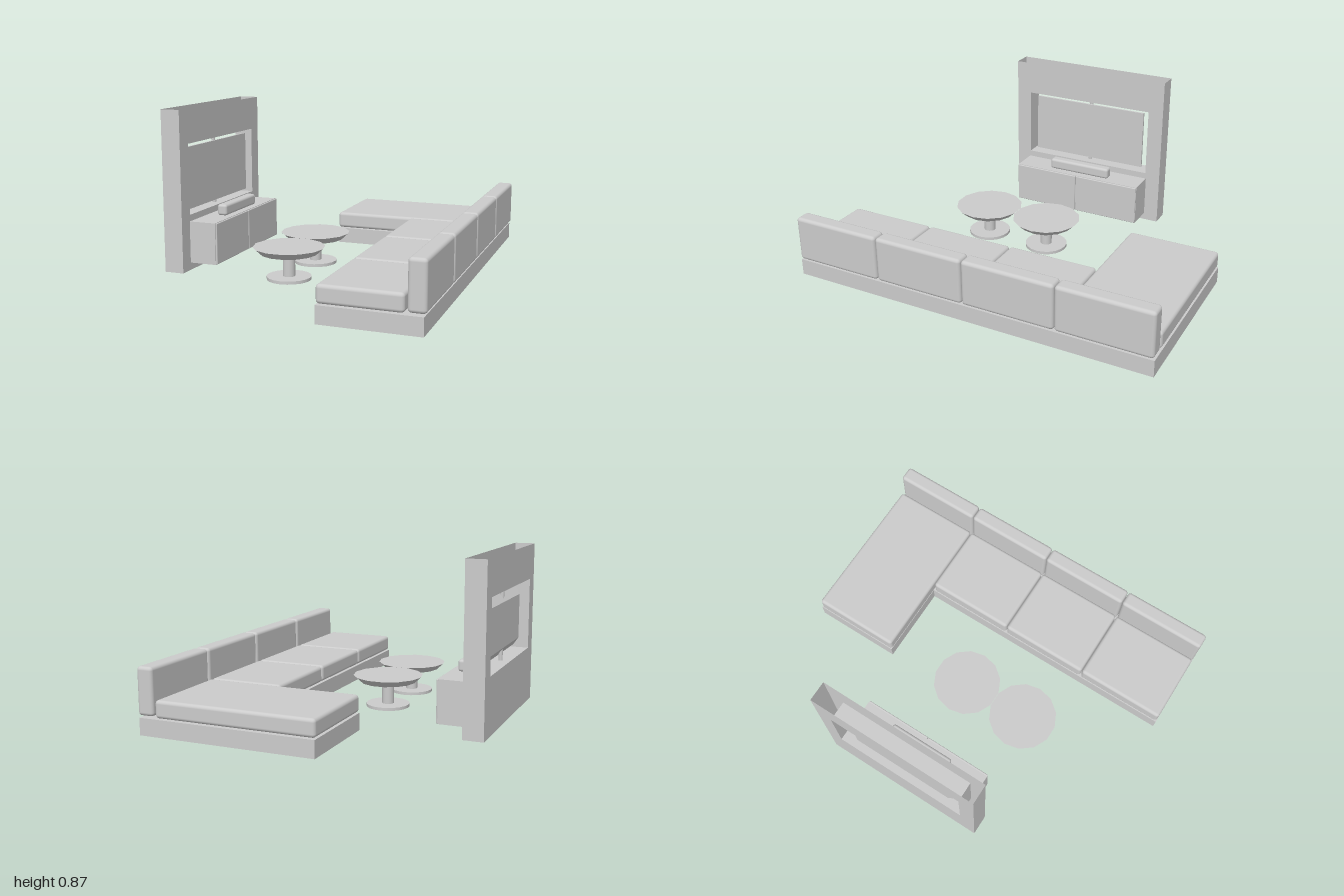
import * as THREE from 'three';
import { RoundedBoxGeometry } from 'three/addons/geometries/RoundedBoxGeometry.js';

export function createModel() {
  const model = new THREE.Group();
  const solid = new THREE.MeshStandardMaterial({ color: 0xcccccc });
  const faceted = new THREE.MeshStandardMaterial({ color: 0xcccccc, flatShading: true });
  const sheet = new THREE.MeshStandardMaterial({ color: 0xcccccc, side: THREE.DoubleSide });

  const group = (name, parent = model) => {
    const g = new THREE.Group();
    g.name = name;
    parent.add(g);
    return g;
  };
  const add = (parent, name, geometry, x, y, z, material = solid) => {
    const mesh = new THREE.Mesh(geometry, material);
    mesh.name = name;
    mesh.position.set(x, y, z);
    parent.add(mesh);
    return mesh;
  };
  // Box given by its limits on each axis; a radius rounds it
  const block = (parent, name, [x0, x1], [y0, y1], [z0, z1], radius = 0) => {
    const size = [x1 - x0, y1 - y0, z1 - z0];
    const geometry = radius
      ? new RoundedBoxGeometry(...size, 3, radius)
      : new THREE.BoxGeometry(...size);
    return add(parent, name, geometry, (x0 + x1) / 2, (y0 + y1) / 2, (z0 + z1) / 2);
  };

  // Sofa: L-shaped plinth with cushions
  const sofa = group('sofa');
  const outline = new THREE.Shape([
    [-0.165, 1], [-0.165, 0.505], [0.28, 0.505], [0.28, -1], [0.775, -1], [0.775, 1],
  ].map(([x, y]) => new THREE.Vector2(x, y)));
  const plinth = new THREE.ExtrudeGeometry(outline, { depth: 0.088, bevelEnabled: false });
  plinth.rotateX(-Math.PI / 2);
  add(sofa, 'sofaBase', plinth, 0, 0, 0);
  for (let i = 0; i < 4; i++) {
    const span = [-1 + i * 0.5 + 0.002, -0.5 + i * 0.5 - 0.002];
    const front = i === 0 ? -0.165 : 0.28;
    block(sofa, i === 0 ? 'chaiseCushion' : 'seatCushion', [front, 0.687], [0.092, 0.182], span, 0.018);
    block(sofa, 'backCushion', [0.698, 0.785], [0.097, 0.34], span, 0.018);
  }

  // Two pedestal tables with tapered tops
  for (const z of [-0.01, 0.358]) {
    const table = group('coffeeTable');
    table.position.set(-0.119, 0, z);
    const disc = (name, top, bottom, y0, y1, sides, material) => {
      const geometry = new THREE.CylinderGeometry(top, bottom, y1 - y0, sides);
      add(table, name, geometry, 0, (y0 + y1) / 2, 0, material).rotation.y = Math.PI / 2;
    };
    disc('tableTop', 0.188, 0.15, 0.137, 0.172, 14, faceted);
    disc('tableStem', 0.032, 0.032, 0.016, 0.137, 16, solid);
    disc('tableFoot', 0.117, 0.117, 0, 0.016, 20, solid);
  }

  // Media wall: hollow shell, open at top and bottom, with a window opening
  const wall = group('mediaWall');
  const back = -0.787, face = -0.68, depth = face - back, midX = (back + face) / 2;
  const height = 0.865, half = 0.467, sill = 0.3, head = 0.68, holeHalf = 0.38;
  const rectangle = (Type, w, y0, y1) => new Type([
    new THREE.Vector2(-w, y0), new THREE.Vector2(w, y0),
    new THREE.Vector2(w, y1), new THREE.Vector2(-w, y1),
  ]);
  const panel = rectangle(THREE.Shape, half, 0, height);
  panel.holes.push(rectangle(THREE.Path, holeHalf, sill, head));
  for (const [name, x, turn] of [['wallFront', face, 1], ['wallBack', back, -1]]) {
    add(wall, name, new THREE.ShapeGeometry(panel), x, 0, 0, sheet).rotation.y = turn * Math.PI / 2;
  }
  for (const side of [-1, 1]) {
    const end = add(wall, 'wallEnd', new THREE.PlaneGeometry(depth, height),
      midX, height / 2, side * half, sheet);
    const jamb = add(wall, 'openingSide', new THREE.PlaneGeometry(depth, head - sill),
      midX, (sill + head) / 2, side * holeHalf, sheet);
    if (side < 0) end.rotation.y = Math.PI;
    else jamb.rotation.y = Math.PI;
  }
  for (const [name, y, turn] of [['openingSill', sill, -1], ['openingHead', head, 1]]) {
    add(wall, name, new THREE.PlaneGeometry(depth, holeHalf * 2), midX, y, 0, sheet)
      .rotation.x = turn * Math.PI / 2;
  }

  // Screen with a tapered back, hung on a pole in the opening
  const screen = group('screen');
  block(screen, 'screenPanel', [-0.715, -0.703], [0.322, 0.658], [-0.342, 0.342]);
  const taper = new THREE.BoxGeometry(0.04, 0.336, 0.684);
  const p = taper.attributes.position;
  for (let i = 0; i < p.count; i++) {
    if (p.getX(i) < 0) {
      p.setY(i, p.getY(i) - Math.sign(p.getY(i)) * 0.05);
      p.setZ(i, p.getZ(i) - Math.sign(p.getZ(i)) * 0.055);
    }
  }
  taper.computeVertexNormals();
  add(screen, 'screenBack', taper, -0.735, 0.49, 0);
  add(screen, 'screenPole', new THREE.CylinderGeometry(0.011, 0.011, head - sill, 12),
    -0.735, (sill + head) / 2, 0);

  // Floating cabinet with two doors and a sound bar on top
  const cabinet = group('cabinet');
  block(cabinet, 'cabinetBody', [face, -0.53], [0.04, 0.265], [-0.385, 0.385]);
  for (const side of [-1, 1]) {
    const span = [side * 0.193 - 0.191, side * 0.193 + 0.191];
    block(cabinet, 'cabinetDoor', [-0.53, -0.52], [0.042, 0.264], span, 0.004);
  }
  block(cabinet, 'soundBar', [-0.621, -0.565], [0.264, 0.325], [-0.185, 0.185], 0.014);

  return model;
}
